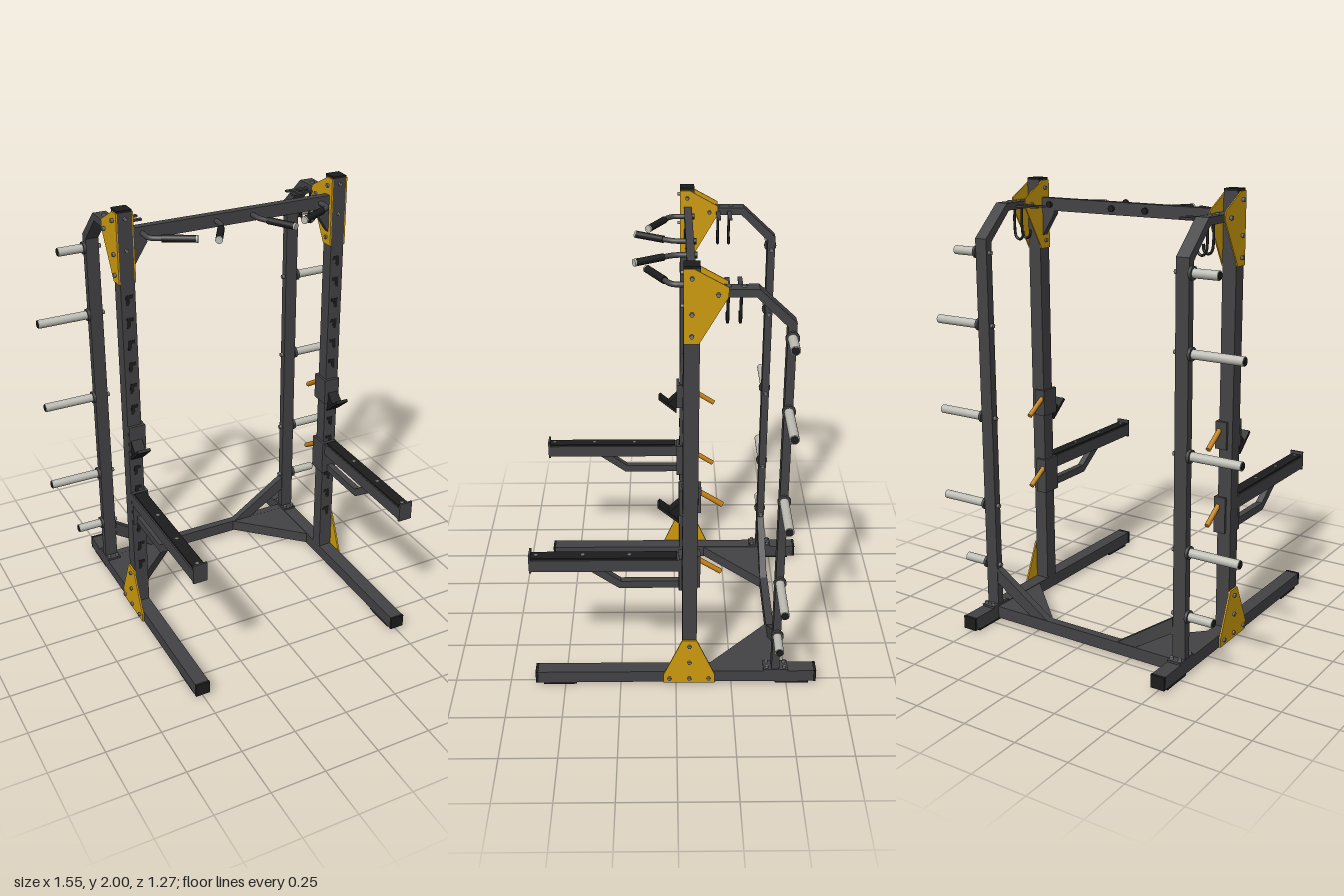
import * as THREE from 'three';

const mat = (name, color, opts = {}) => {
  const m = new THREE.MeshStandardMaterial({ color, ...opts });
  m.name = name;
  return m;
};

export function createModel() {
  const frame = mat('charcoal frame', 0x434345);
  const black = mat('black rubber', 0x1c1c1d);
  const yellow = mat('yellow plate', 0xcf9c0f);
  const orange = mat('amber handle', 0xc07f12);
  const steel = mat('peg steel', 0xbcbcb4);
  const bolt = mat('bolt grey', 0x77777a);

  const model = new THREE.Group();
  model.name = 'powerRack';
  const add = (name, geo, material) => {
    const mesh = new THREE.Mesh(geo, material);
    mesh.name = name;
    model.add(mesh);
    return mesh;
  };
  // Box given by its min and max on each axis
  const box = (name, x0, x1, y0, y1, z0, z1, material = frame) =>
    add(name, new THREE.BoxGeometry(Math.abs(x1 - x0), y1 - y0, z1 - z0)
      .translate((x0 + x1) / 2, (y0 + y1) / 2, (z0 + z1) / 2), material);
  const extrude = (pts, depth) => new THREE.ExtrudeGeometry(
    new THREE.Shape(pts.map(p => new THREE.Vector2(p[0], p[1]))),
    { depth, bevelEnabled: false }).translate(0, 0, -depth / 2);
  // Outline in (z, y), extruded along x
  const sideProfile = (name, pts, x, width, material = frame) =>
    add(name, extrude(pts, width).rotateY(-Math.PI / 2).translate(x, 0, 0), material);
  // Outline in (x, y), extruded along z
  const frontProfile = (name, pts, z, width, material = frame) =>
    add(name, extrude(pts, width).translate(0, 0, z), material);
  // Round bar between two points
  const rod = (name, a, b, r, material, sides = 16) => {
    const p = new THREE.Vector3(...a), q = new THREE.Vector3(...b);
    const d = q.clone().sub(p);
    const mesh = add(name, new THREE.CylinderGeometry(r, r, d.length(), sides), material);
    mesh.position.copy(p).add(q).multiplyScalar(0.5);
    mesh.quaternion.setFromUnitVectors(new THREE.Vector3(0, 1, 0), d.normalize());
    return mesh;
  };

  const X = 0.502, H = 0.032, IN = X - H, OUT = X + H;
  const UF = -0.028, UB = -0.092, UZ = -0.06;   // upright front, back, centre
  const RZ = -0.449;                            // storage post centre

  for (const s of [1, -1]) {
    // Floor rail with end caps and feet
    box('floorRail', s * IN, s * OUT, 0.013, 0.071, -0.625, 0.625);
    for (const e of [1, -1]) {
      box('railEndCap', s * (IN - 0.001), s * (OUT + 0.001), 0.012, 0.072,
        e > 0 ? 0.622 : -0.634, e > 0 ? 0.634 : -0.622, black);
      box('railFoot', s * (IN + 0.004), s * (OUT - 0.004), 0, 0.013,
        e > 0 ? 0.45 : -0.6, e > 0 ? 0.6 : -0.45, black);
    }

    // Upright with keyhole slots
    box('upright', s * IN, s * OUT, 0.071, 1.99, UB, UF);
    box('uprightCap', s * IN, s * OUT, 1.99, 2, UB, UF, black);
    for (let i = 0; i < 14; i++) {
      const y = 0.28 + i * 0.1025;
      frontProfile('keyholeSlot', [[0.012, 0.022], [-0.02, 0.022], [-0.02, 0.006], [-0.006, 0.006],
        [-0.006, -0.012], [0.002, -0.024], [0.012, -0.024]].map(([x, v]) => [s * (X + x), y + v]),
        UF, 0.003, black);
    }
    for (const y of [1.965, 1.83])
      rod('uprightBolt', [s * X, y, UF], [s * X, y, UF + 0.012], 0.008, bolt, 6);

    // Yellow joining plates
    sideProfile('basePlate', [[0.056, 0.013], [0.056, 0.058], [-0.028, 0.25], [-0.092, 0.25],
      [-0.175, 0.058], [-0.175, 0.013]], s * (OUT + 0.004), 0.008, yellow);
    for (const [z, y] of [[UZ, 0.22], [UZ, 0.13], [UZ, 0.04], [0.03, 0.04], [-0.147, 0.04]])
      rod('basePlateBolt', [s * OUT, y, z], [s * (OUT + 0.018), y, z], 0.009, bolt, 6);
    for (const x of [OUT + 0.003, IN - 0.003])
      sideProfile('topPlate', [[UF, 1.99], [-0.07, 1.99], [-0.2, 1.918], [-0.2, 1.88],
        [-0.088, 1.685], [UF, 1.685]], s * x, 0.006, yellow);
    for (const [z, y] of [[UZ, 1.955], [UZ, 1.81], [UZ, 1.72], [-0.16, 1.89]])
      rod('topPlateBolt', [s * (IN - 0.015), y, z], [s * (OUT + 0.018), y, z], 0.009, bolt, 6);
    frontProfile('crossbeamGusset', [[s * IN, 1.86], [s * 0.4, 1.86], [s * 0.4, 1.845],
      [s * (IN - 0.006), 1.745], [s * IN, 1.745]], -0.062, 0.03);

    // Rear storage post bending forward to the upright
    sideProfile('storagePost', [[-0.431, 0.071], [-0.431, 1.752], [-0.306, 1.875], [UB, 1.875],
      [UB, 1.907], [-0.318, 1.907], [-0.466, 1.768], [-0.466, 0.071]], s * X, 0.06);
    box('postFoot', s * (IN - 0.002), s * OUT, 0.071, 0.08, -0.505, -0.395);
    for (const z of [-0.49, -0.41]) for (const x of [IN + 0.012, OUT - 0.012])
      rod('postFootBolt', [s * x, 0.08, z], [s * x, 0.092, z], 0.008, bolt, 6);
    for (const z of [-0.2, -0.26])
      rod('postTopBolt', [s * X, 1.905, z], [s * X, 1.914, z], 0.01, bolt, 6);

    // Plate storage pegs
    for (const [y, end] of [[0.272, 0.656], [0.558, 0.772], [0.971, 0.772], [1.39, 0.772], [1.708, 0.656]]) {
      rod('pegFlange', [s * (OUT - 0.003), y, RZ], [s * (OUT + 0.01), y, RZ], 0.028, frame, 20);
      rod('storagePeg', [s * OUT, y, RZ], [s * end, y, RZ], 0.0195, steel, 24);
      rod('pegEndCap', [s * (end - 0.001), y, RZ], [s * (end + 0.003), y, RZ], 0.016, black, 24);
      rod('pegBolt', [s * (IN - 0.012), y, RZ], [s * (IN + 0.003), y, RZ], 0.01, bolt, 6);
    }

    // Corner wedge and diagonal brace on the rear beam
    const wedge = extrude([[s * 0.18, 0.435], [s * IN, 0.435], [s * IN, 0.155]], 0.053);
    add('cornerWedge', wedge.rotateX(-Math.PI / 2).translate(0, 0.042, 0), frame);
    frontProfile('rearBrace', [[s * IN, 0.255], [s * IN, 0.185], [s * 0.285, 0.068], [s * 0.19, 0.068]],
      RZ, 0.034);

    // Accessory hooks under the top tube
    for (const z of [-0.2, -0.25]) {
      box('hookArm', s * 0.36, s * IN, 1.885, 1.893, z - 0.009, z + 0.009);
      const hook = [[0.485, 1.885], [0.487, 1.8], [0.48, 1.757], [0.462, 1.745], [0.444, 1.757], [0.44, 1.785]];
      add('hook', new THREE.TubeGeometry(new THREE.CatmullRomCurve3(
        hook.map(([x, y]) => new THREE.Vector3(s * x, y, z))), 24, 0.006, 8), black);
    }

    // Pull-up handles: stem, bend, grip and end cap
    for (const [x0, zb, x1, z1] of [[0.42, 0.018, 0.245, 0.115], [0.086, 0.005, 0.178, 0.168]]) {
      const y = 1.885, a = new THREE.Vector3(s * x0, y, zb), b = new THREE.Vector3(s * x1, y, z1);
      const at = t => a.clone().lerp(b, t);
      const path = new THREE.CurvePath();
      const p0 = new THREE.Vector3(s * x0, y, -0.09), p1 = new THREE.Vector3(s * x0, y, zb - 0.025);
      path.add(new THREE.LineCurve3(p0, p1));
      path.add(new THREE.QuadraticBezierCurve3(p1, a, at(0.15)));
      path.add(new THREE.LineCurve3(at(0.15), at(0.97)));
      add('handleStem', new THREE.TubeGeometry(path, 40, 0.0115, 12), frame);
      rod('handleGrip', at(0.26).toArray(), at(0.96).toArray(), 0.0155, black);
      rod('handleEndCap', at(0.96).toArray(), b.toArray(), 0.016, steel);
      rod('handleNut', [s * x0, y, -0.092], [s * x0, y, -0.078], 0.014, black, 12);
    }

    // Sliding brackets with pull handles, for the bar cup and the safety arm
    for (const [y0, y1, hy] of [[0.9, 1.022, 0.982], [0.518, 0.682, 0.64]]) {
      box('bracketSide', s * (IN - 0.012), s * (IN - 0.001), y0, y1, -0.105, -0.012);
      box('bracketFront', s * (IN - 0.012), s * OUT, y0, y1, UF + 0.002, -0.012);
      box('bracketBack', s * (IN - 0.012), s * (X + 0.01), y0, y1, -0.105, UB - 0.001);
      rod('pullHandle', [s * (IN + 0.005), hy, -0.1], [s * (IN + 0.005), hy - 0.062, -0.195], 0.0115, orange);
    }

    // Bar cup
    sideProfile('barCupTray', [[-0.012, 0.862], [-0.012, 0.88], [0.068, 0.948], [0.077, 0.938]],
      s * X, 0.06, black);
    sideProfile('barCupRest', [[-0.012, 0.865], [-0.012, 0.955], [0.035, 0.908]], s * X, 0.052, black);

    // Safety arm with pad, stop plate and lower brace
    box('safetyArm', s * IN, s * OUT, 0.62, 0.677, -0.012, 0.625);
    box('safetyPad', s * (IN + 0.006), s * (OUT - 0.006), 0.677, 0.685, -0.005, 0.622, black);
    box('safetyStop', s * IN, s * OUT, 0.612, 0.7, 0.622, 0.631);
    for (const z of [0.2, 0.4, 0.6])
      rod('padBolt', [s * X, 0.683, z], [s * X, 0.687, z], 0.008, bolt, 12);
    sideProfile('safetyBrace', [[-0.012, 0.522], [0.247, 0.522], [0.385, 0.622], [0.325, 0.622],
      [0.238, 0.557], [-0.012, 0.557]], s * X, 0.03);
  }

  // Cross members
  box('pullUpBeam', -IN, IN, 1.858, 1.914, -0.08, -0.046);
  box('rearBeam', -IN, IN, 0.013, 0.069, -0.469, -0.432);

  return model;
}
